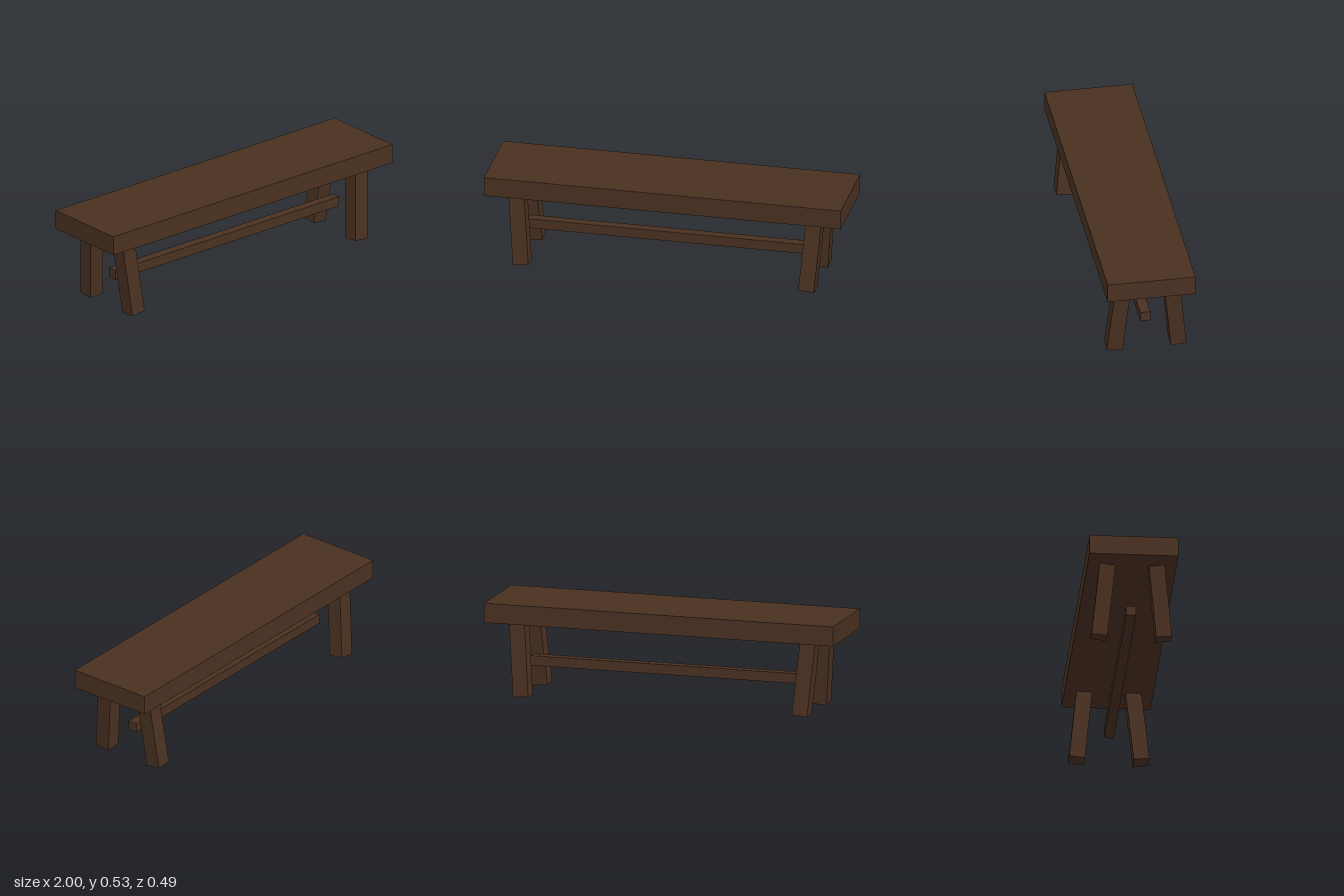
import * as THREE from 'three';

export function createModel() {
  const model = new THREE.Group();
  const wood = new THREE.MeshStandardMaterial({ color: 0x4a3121 });
  wood.name = 'darkWood';

  const addBeam = (name, w, h, d, x, y, z) => {
    const mesh = new THREE.Mesh(new THREE.BoxGeometry(w, h, d), wood);
    mesh.name = name;
    mesh.position.set(x, y, z);
    model.add(mesh);
    return mesh;
  };

  // Thick plank seat
  addBeam('seat', 2, 0.109, 0.488, 0, 0.4755, 0);

  // Stretcher running between the leg pairs
  addBeam('stretcher', 1.6, 0.055, 0.055, 0, 0.1765, 0);

  // Four leaning legs: feet spread front to back and tucked in along the length
  for (const sx of [-1, 1]) {
    for (const sz of [-1, 1]) {
      const name = (sz > 0 ? 'front' : 'back') + (sx > 0 ? 'Left' : 'Right') + 'Leg';
      const leg = addBeam(name, 0.087, 0.415, 0.087, sx * 0.817, 0.214, sz * 0.156);
      leg.rotation.set(-sz * 0.103, 0, -sx * 0.083);
    }
  }

  return model;
}
